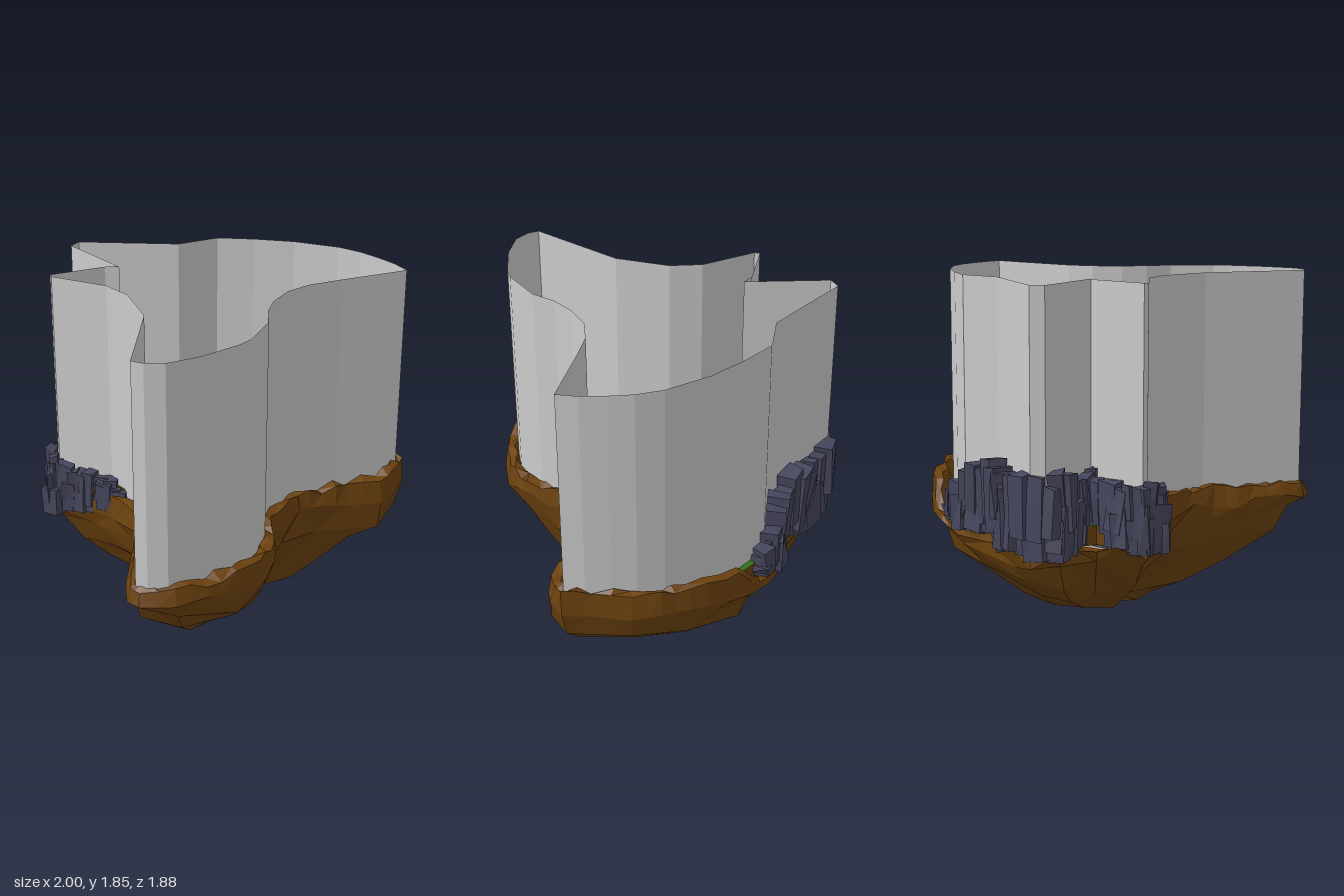
import * as THREE from 'three';

const mat = (color, side = THREE.FrontSide) =>
  new THREE.MeshStandardMaterial({ color, flatShading: true, side });
const earth = mat(0x6c420f, THREE.DoubleSide), grass = mat(0x356f1a), stone = mat(0x45455c);
const water = mat(0x70d8e0), wallGrey = mat(0xcccccc, THREE.DoubleSide);
const { smoothstep, lerp } = THREE.MathUtils;

// Seeded random numbers
let seed = 7;
const rand = (a = 0, b = 1) => {
  seed = (seed * 16807) % 2147483647;
  return a + (b - a) * (seed / 2147483647);
};

// Shoreline seen from above as x, z pairs, clockwise from the back tip
const SHORE = [
  [-0.22, -0.92], [-0.02, -0.81], [0.2, -0.65], [0.45, -0.58], [0.6, -0.52], [0.72, -0.43],
  [0.83, -0.29], [0.93, -0.1], [0.98, 0.05], [0.995, 0.2], [0.97, 0.4], [0.96, 0.55],
  [0.86, 0.61], [0.73, 0.63], [0.55, 0.56], [0.4, 0.52], [0.27, 0.48], [0.13, 0.54],
  [0, 0.58], [-0.06, 0.67], [-0.12, 0.76], [-0.2, 0.84], [-0.33, 0.91], [-0.5, 0.935],
  [-0.68, 0.93], [-0.85, 0.89], [-0.99, 0.78], [-1, 0.69], [-0.93, 0.58], [-0.82, 0.45],
  [-0.76, 0.36], [-0.65, 0.27], [-0.59, 0.16], [-0.56, 0.02], [-0.55, -0.13], [-0.6, -0.28],
  [-0.69, -0.44], [-0.67, -0.54], [-0.52, -0.6], [-0.42, -0.61], [-0.36, -0.7], [-0.34, -0.85],
];

// Width of the earth rim: broad on the left arm, narrow at the right end and the back
const rimWidth = (x, z) => 0.1 + 0.06 * smoothstep(-x, 0.6, 0.85) * smoothstep(z, 0.2, 0.5)
  - 0.03 * smoothstep(x, 0.85, 0.97) * smoothstep(z, 0.1, 0.3) - 0.03 * smoothstep(-z, 0.45, 0.6);

// Shoreline moved inwards by a share f of the rim width
function inset(f) {
  const n = SHORE.length;
  return SHORE.map(([x, z], i) => {
    const a = SHORE[(i + n - 1) % n], b = SHORE[(i + 1) % n];
    const tx = b[0] - a[0], tz = b[1] - a[1], d = (f * rimWidth(x, z)) / Math.hypot(tx, tz);
    return [x - tz * d, z + tx * d];
  });
}

// Adds the midpoint of every edge of a closed ring
const withMidpoints = (ring) => ring.flatMap((p, i) => {
  const q = ring[(i + 1) % ring.length];
  return [p, p.map((v, k) => (v + q[k]) / 2)];
});

function mesh(name, geometry, material) {
  const m = new THREE.Mesh(geometry, material);
  m.name = name;
  return m;
}

// Faceted skin between rings of equal point count
function skin(rings, closed = true) {
  const n = rings[0].length, pos = [];
  for (let k = 0; k < rings.length - 1; k++)
    for (let i = 0; i < (closed ? n : n - 1); i++) {
      const j = (i + 1) % n;
      const a = rings[k][i], b = rings[k][j], c = rings[k + 1][i], d = rings[k + 1][j];
      if (i % 2) pos.push(...a, ...b, ...c, ...b, ...d, ...c);
      else pos.push(...a, ...b, ...d, ...a, ...d, ...c);
    }
  const g = new THREE.BufferGeometry();
  g.setAttribute('position', new THREE.Float32BufferAttribute(pos, 3));
  g.computeVertexNormals();
  return g;
}

// Flat slab whose top lies at height y
function slab(name, pts, y, depth, materials) {
  const shape = new THREE.Shape(pts.map(([x, z]) => new THREE.Vector2(x, -z)));
  const g = new THREE.ExtrudeGeometry(shape, { depth, bevelEnabled: false });
  g.rotateX(-Math.PI / 2).translate(0, y - depth, 0);
  return mesh(name, g, materials);
}

// Earth body: finely broken rim, then coarser rings shrinking to a keel
function island() {
  const group = new THREE.Group();
  group.name = 'island';
  const back = (z) => smoothstep(-z, 0.3, 0.55);
  const edge = SHORE.map(([x, z]) => [x, 0.59 - 0.09 * back(z) + rand(-0.045, 0.04), z]);
  const rimRing = (f, y, drop, wobble, bump) => withMidpoints(inset(f)).map(([x, z]) => [
    x + rand(-wobble, wobble), y - drop * back(z) + 0.05 * smoothstep(x, 0.6, 0.95) * (1 - back(z)) + rand(-bump, bump),
    z + rand(-wobble, wobble)]);
  const rim = [rimRing(1.35, 0.56, 0.1, 0.014, 0.01), rimRing(0.65, 0.69, 0.17, 0.018, 0.02),
    rimRing(0.16, 0.685, 0.17, 0.008, 0.022), withMidpoints(edge)];
  group.add(mesh('rim', skin(rim), earth));

  // scale, height, centre x, centre z, shoreline points merged into one
  const lower = [[0.95, 0.48, 0, 0, 2], [0.84, 0.36, 0, 0.01, 2], [0.65, 0.23, 0, 0.02, 2],
    [0.46, 0.1, 0.01, 0.03, 3], [0.22, 0.045, -0.04, 0.1, 6]];
  const body = [edge];
  for (const [s, y, cx, cz, step] of lower) {
    const ring = [];
    for (let i = 0; i < SHORE.length; i += step) {
      const [x, z] = SHORE[i + Math.floor(step / 2)], k = s * rand(0.96, 1.04);
      const p = [cx + x * k, y * (1 - 0.12 * back(z)) - 0.03 * x * s + rand(-0.1, 0.1) * y, cz + z * k];
      for (let r = 0; r < step; r++) ring.push(p);
    }
    body.push(ring);
  }
  body.push(SHORE.map(() => [-0.2, 0, 0.24]));
  group.add(mesh('underside', skin(body), earth));
  return group;
}

// Row of rough upright blocks along a path of [x, z, bottom, top]
function rockRow(name, pts, size) {
  const row = new THREE.Group();
  row.name = name;
  const path = new THREE.CatmullRomCurve3(pts.map(([x, z]) => new THREE.Vector3(x, 0, z)), false, 'catmullrom', 0.2);
  const count = Math.round(path.getLength() / (size * 0.55));
  for (let i = 0; i <= count; i++) {
    const t = i / count, p = path.getPoint(t), dir = path.getTangent(t);
    const f = t * (pts.length - 1), k = Math.min(Math.floor(f), pts.length - 2);
    const lo = lerp(pts[k][2], pts[k + 1][2], f - k), hi = lerp(pts[k][3], pts[k + 1][3], f - k);
    // a low block and a tall one at every step
    for (const tall of [0, 1]) {
      const y0 = lo + (tall ? rand(0.05, 0.15) * (hi - lo) * 2 : rand(0, 0.04));
      const y1 = tall ? hi - rand(0, 0.2) * (hi - lo) : lo + (hi - lo) * rand(0.45, 0.75);
      const g = new THREE.BoxGeometry(size * rand(0.6, 1.5), y1 - y0, size * rand(0.6, 1.25));
      const v = g.attributes.position, corner = {};
      for (let q = 0; q < v.count; q++) {
        const key = [v.getX(q) > 0, v.getY(q) > 0, v.getZ(q) > 0].join();
        corner[key] ??= [rand(0.6, 1.1), rand(0.85, 1), rand(0.6, 1.1)];
        const [sx, sy, sz] = corner[key];
        v.setXYZ(q, v.getX(q) * sx, v.getY(q) * sy, v.getZ(q) * sz);
      }
      g.computeVertexNormals();
      const rock = mesh('rock', g, stone);
      rock.position.set(p.x + rand(-0.02, 0.02), (y0 + y1) / 2, p.z + rand(-0.02, 0.02));
      rock.rotation.set(rand(-0.08, 0.08), Math.atan2(-dir.z, dir.x) + rand(-0.3, 0.3), rand(-0.08, 0.08));
      row.add(rock);
    }
  }
  return row;
}

export function createModel() {
  const model = new THREE.Group();
  const LOW = 0.62, MID = 0.73, HIGH = 0.82;
  model.add(island());

  // Meadow and the two raised terraces
  model.add(slab('meadow', inset(1), LOW, 0.1, [grass, earth]));
  model.add(slab('highTerrace', [[-0.22, -0.87], [-0.02, -0.75], [0.25, -0.53], [0.22, -0.31], [0.39, -0.2],
    [0.38, -0.08], [0.12, -0.03], [-0.22, 0], [-0.29, -0.3], [-0.31, -0.8]], HIGH, 0.32, [grass, earth]));
  model.add(slab('lowTerrace', [[-0.3, -0.52], [-0.29, -0.05], [-0.48, -0.07], [-0.55, -0.3],
    [-0.67, -0.47], [-0.62, -0.54], [-0.48, -0.53]], MID, 0.22, [grass, earth]));

  // Grass ramps from the meadow to the terraces
  const ramp = (name, upper, lower) => model.add(mesh(name, skin([upper, lower], false), grass));
  ramp('highRamp', [[0.25, HIGH, -0.53], [0.22, HIGH, -0.31], [0.39, HIGH, -0.2]],
    [[0.54, LOW, -0.42], [0.55, LOW, -0.33], [0.42, LOW, -0.2]]);
  ramp('lowRamp', [[-0.48, MID, -0.07], [-0.29, MID, -0.05]], [[-0.4, LOW, 0.16], [-0.36, LOW, 0.16]]);

  // Pool at the foot of the cliff
  model.add(slab('pool', [[-0.33, 0.11], [-0.25, 0.06], [-0.2, 0.03], [-0.01, 0.03], [-0.06, 0.14],
    [-0.18, 0.19], [-0.32, 0.17]], LOW + 0.015, 0.03, water));

  // Stone cliffs
  model.add(rockRow('backCliff', [[-0.31, -0.84, 0.5, 0.93], [-0.19, -0.87, 0.48, 0.97], [0, -0.79, 0.48, 0.98],
    [0.13, -0.68, 0.48, 0.98], [0.32, -0.57, 0.5, 0.9], [0.45, -0.54, 0.5, 0.78], [0.53, -0.48, 0.52, 0.68]], 0.115));
  model.add(rockRow('innerCliff', [[-0.33, -0.8, 0.48, 0.95], [-0.3, -0.62, 0.5, 0.95], [-0.29, -0.4, 0.56, 0.93],
    [-0.27, -0.18, 0.58, 0.9], [-0.22, 0, 0.58, 0.88], [-0.3, 0.09, 0.58, 0.74]], 0.095));
  model.add(rockRow('frontCliff', [[-0.2, 0.01, 0.58, 0.88], [0, 0, 0.58, 0.88], [0.15, -0.04, 0.58, 0.9],
    [0.33, -0.05, 0.58, 0.9], [0.4, -0.12, 0.58, 0.9], [0.37, -0.2, 0.58, 0.88]], 0.1));
  model.add(rockRow('sideCliff', [[-0.32, -0.51, 0.5, 0.88], [-0.5, -0.55, 0.48, 0.86], [-0.66, -0.54, 0.48, 0.88],
    [-0.7, -0.46, 0.48, 0.86], [-0.6, -0.33, 0.52, 0.83], [-0.54, -0.2, 0.56, 0.8], [-0.49, -0.1, 0.58, 0.74]], 0.085));

  // Tall thin boundary wall around the meadow
  const line = [[-0.28, -0.87], [-0.21, -0.9], [0.21, -0.54], [0.45, -0.5], [0.6, -0.36],
    [0.75, -0.19], [0.88, 0.03], [0.92, 0.17], [0.93, 0.3], [0.93, 0.43], [0.91, 0.54], [0.54, 0.45], [0.35, 0.41],
    [0.2, 0.42], [0.05, 0.49], [-0.06, 0.58], [-0.15, 0.7], [-0.36, 0.83], [-0.45, 0.85], [-0.67, 0.86],
    [-0.85, 0.83], [-0.93, 0.77], [-0.96, 0.71], [-0.58, 0.27], [-0.48, -0.02], [-0.49, -0.2], [-0.64, -0.49],
    [-0.63, -0.52], [-0.33, -0.455], [-0.27, -0.41]];
  const wallRing = (y) => line.map(([x, z]) => [x, y, z]);
  model.add(mesh('boundaryWall', skin([wallRing(1.85), wallRing(0.6)]), wallGrey));
  return model;
}
